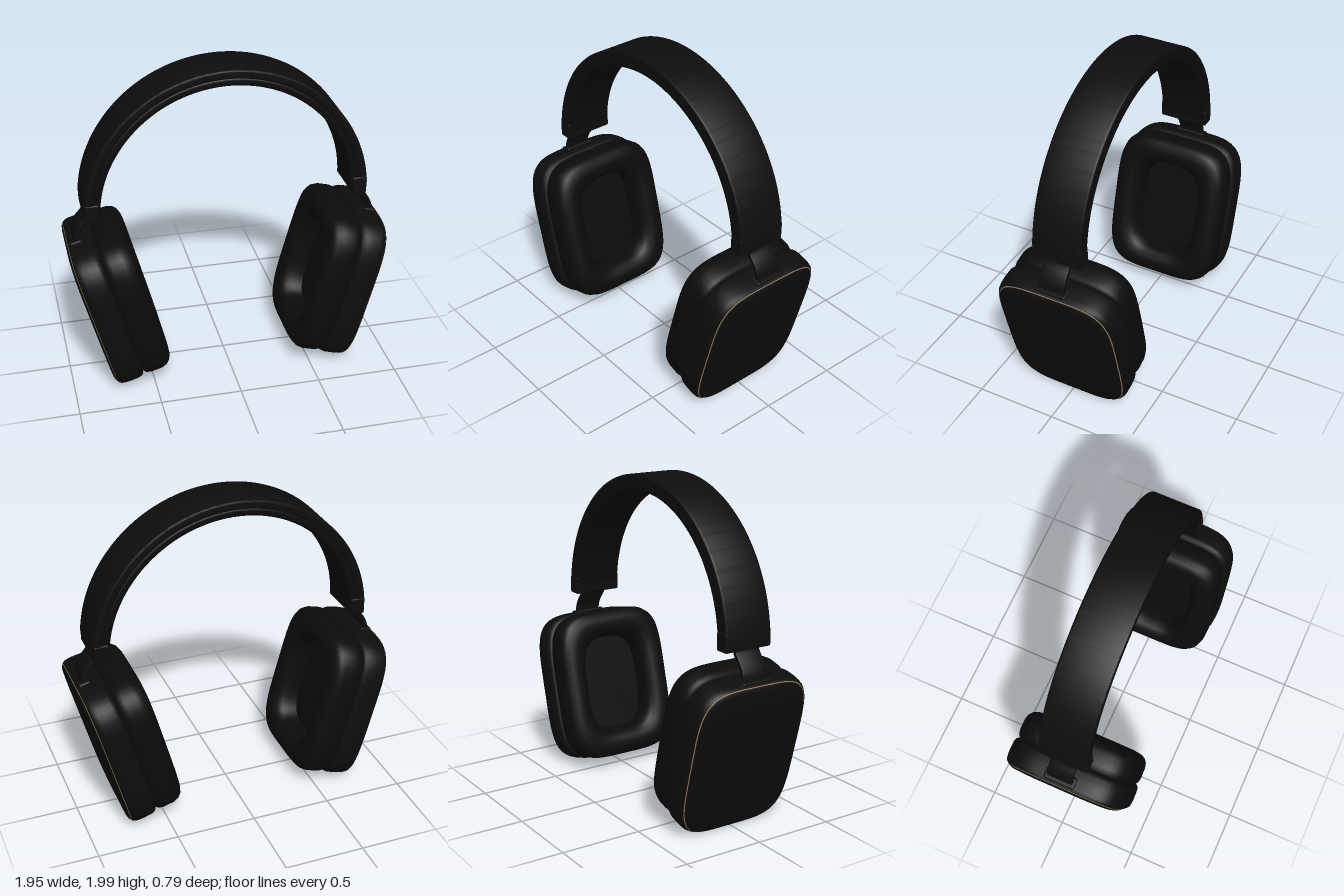
import * as THREE from 'three';
import { toCreasedNormals } from 'three/addons/utils/BufferGeometryUtils.js';
import { RoundedBoxGeometry } from 'three/addons/geometries/RoundedBoxGeometry.js';

const black = new THREE.MeshStandardMaterial({ color: 0x0d0d0d });
black.name = 'matte black';
const leather = new THREE.MeshStandardMaterial({ color: 0x0b0b0b });
leather.name = 'cushion black';
const gold = new THREE.MeshStandardMaterial({ color: 0x8f7a55 });
gold.name = 'dull gold';

const BAND_Y = 1.13; // centre of the headband arc
const TILT = THREE.MathUtils.degToRad(15);
const CUP_UP = 0.677; // distance of the cup centre along its tilted axis

function add(parent, name, geometry, material) {
  const mesh = new THREE.Mesh(geometry, material);
  mesh.name = name;
  parent.add(mesh);
  return mesh;
}

// Joins squircle rings along x; each ring is [x, half depth, half height, exponent]
function loft(rings, crease = 0.7, segments = 96) {
  const positions = [], index = [];
  rings.forEach(([x, hz, hy, n = 4.5]) => {
    for (let j = 0; j < segments; j++) {
      const a = (j / segments) * Math.PI * 2;
      const c = Math.cos(a), s = Math.sin(a);
      const r = 1 / Math.pow(Math.abs(c) ** n + Math.abs(s) ** n, 1 / n);
      positions.push(x, hy * r * s, hz * r * c);
    }
  });
  for (let i = 0; i < rings.length - 1; i++) {
    for (let j = 0; j < segments; j++) {
      const k = (j + 1) % segments;
      const a = i * segments + j, b = i * segments + k;
      const c = a + segments, d = b + segments;
      if (rings[i][1] > 0) index.push(a, c, b);
      if (rings[i + 1][1] > 0) index.push(b, c, d);
      else index.push(a, c, b);
    }
  }
  const geometry = new THREE.BufferGeometry();
  geometry.setAttribute('position', new THREE.Float32BufferAttribute(positions, 3));
  geometry.setIndex(index);
  return toCreasedNormals(geometry, crease);
}

// Extrudes a shape to a total depth, centred on z
function slab(shape, depth, bevel) {
  const geometry = new THREE.ExtrudeGeometry(shape, {
    depth: depth - 2 * bevel, curveSegments: 72, bevelEnabled: true,
    bevelSize: bevel, bevelThickness: bevel, bevelOffset: -bevel, bevelSegments: 3,
  });
  geometry.translate(0, 0, -depth / 2 + bevel);
  return toCreasedNormals(geometry, 0.6);
}

function arch(inner, outer, endAngle) {
  const shape = new THREE.Shape();
  shape.absarc(0, BAND_Y, outer, endAngle, Math.PI - endAngle, false);
  shape.absarc(0, BAND_Y, inner, Math.PI - endAngle, endAngle, true);
  shape.closePath();
  return shape;
}

// Thin strip following a curve in the xy plane
function strip(points, thickness) {
  const curve = new THREE.CatmullRomCurve3(points.map(([x, y]) => new THREE.Vector3(x, y, 0)));
  const left = [], right = [];
  for (let i = 0; i <= 24; i++) {
    const p = curve.getPointAt(i / 24), t = curve.getTangentAt(i / 24);
    const dx = -t.y * thickness / 2, dy = t.x * thickness / 2;
    left.push(new THREE.Vector2(p.x + dx, p.y + dy));
    right.push(new THREE.Vector2(p.x - dx, p.y - dy));
  }
  return new THREE.Shape([...right, ...left.reverse()]);
}

function earSide() {
  const side = new THREE.Group();

  // Slider housing at the end of the band
  const housing = add(side, 'sliderHousing', new RoundedBoxGeometry(0.09, 0.11, 0.314, 3, 0.01), black);
  housing.position.set(0.82, 1.175, 0);

  // Bent yoke arm
  const arm = strip([[0.836, 1.15], [0.846, 1.105], [0.893, 1.045], [0.918, 0.99], [0.92, 0.92]], 0.028);
  add(side, 'yokeArm', slab(arm, 0.165, 0.006), black);

  // Tilted ear cup
  const cup = new THREE.Group();
  cup.name = 'earCup';
  cup.rotation.z = -TILT;
  cup.position.set(CUP_UP * Math.sin(TILT), CUP_UP * Math.cos(TILT), 0);
  side.add(cup);

  add(cup, 'cupShell', loft([
    [0.525, 0.355, 0.45], [0.53, 0.376, 0.47], [0.54, 0.387, 0.481], [0.56, 0.393, 0.487],
    [0.61, 0.395, 0.489], [0.65, 0.394, 0.488], [0.672, 0.39, 0.486], [0.684, 0.383, 0.483],
    [0.691, 0.375, 0.479],
  ]), black);
  add(cup, 'trimRing', loft([[0.691, 0.375, 0.479], [0.695, 0.37, 0.475]]), gold);
  add(cup, 'outerPlate', loft([
    [0.695, 0.37, 0.475], [0.703, 0.36, 0.466], [0.708, 0.345, 0.452],
    [0.711, 0.31, 0.42], [0.712, 0.2, 0.28], [0.712, 0, 0],
  ]), black);
  const socket = add(cup, 'yokeSocket', new RoundedBoxGeometry(0.075, 0.03, 0.2, 3, 0.012), black);
  socket.position.set(0.64, 0.483, 0);

  // Padded cushion with a deep opening
  add(cup, 'cushion', loft([
    [0.49, 0.205, 0.3, 3.4], [0.42, 0.21, 0.305, 3.4], [0.385, 0.22, 0.315, 3.4],
    [0.357, 0.238, 0.333, 3.5], [0.34, 0.265, 0.36, 3.7], [0.333, 0.298, 0.393, 4],
    [0.338, 0.33, 0.425, 4.2], [0.352, 0.358, 0.453], [0.375, 0.376, 0.471],
    [0.41, 0.385, 0.48], [0.48, 0.386, 0.481], [0.51, 0.38, 0.475],
    [0.525, 0.368, 0.463], [0.53, 0.35, 0.445],
  ], 1), leather);
  add(cup, 'speakerCover', loft([[0.48, 0, 0, 3.4], [0.48, 0.215, 0.31, 3.4]]), leather);
  return side;
}

export function createModel() {
  const model = new THREE.Group();
  model.name = 'headphones';

  // Headband shell and inner padding
  add(model, 'headband', slab(arch(0.815, 0.87, 0.07), 0.31, 0.012), black);
  add(model, 'headbandPad', slab(arch(0.77, 0.822, 0.06), 0.3, 0.016), leather);

  // Two matching sides, turned about the vertical axis
  ['left', 'right'].forEach((name, i) => {
    const side = earSide();
    side.name = name + 'Side';
    side.rotation.y = i * Math.PI;
    model.add(side);
  });
  return model;
}
